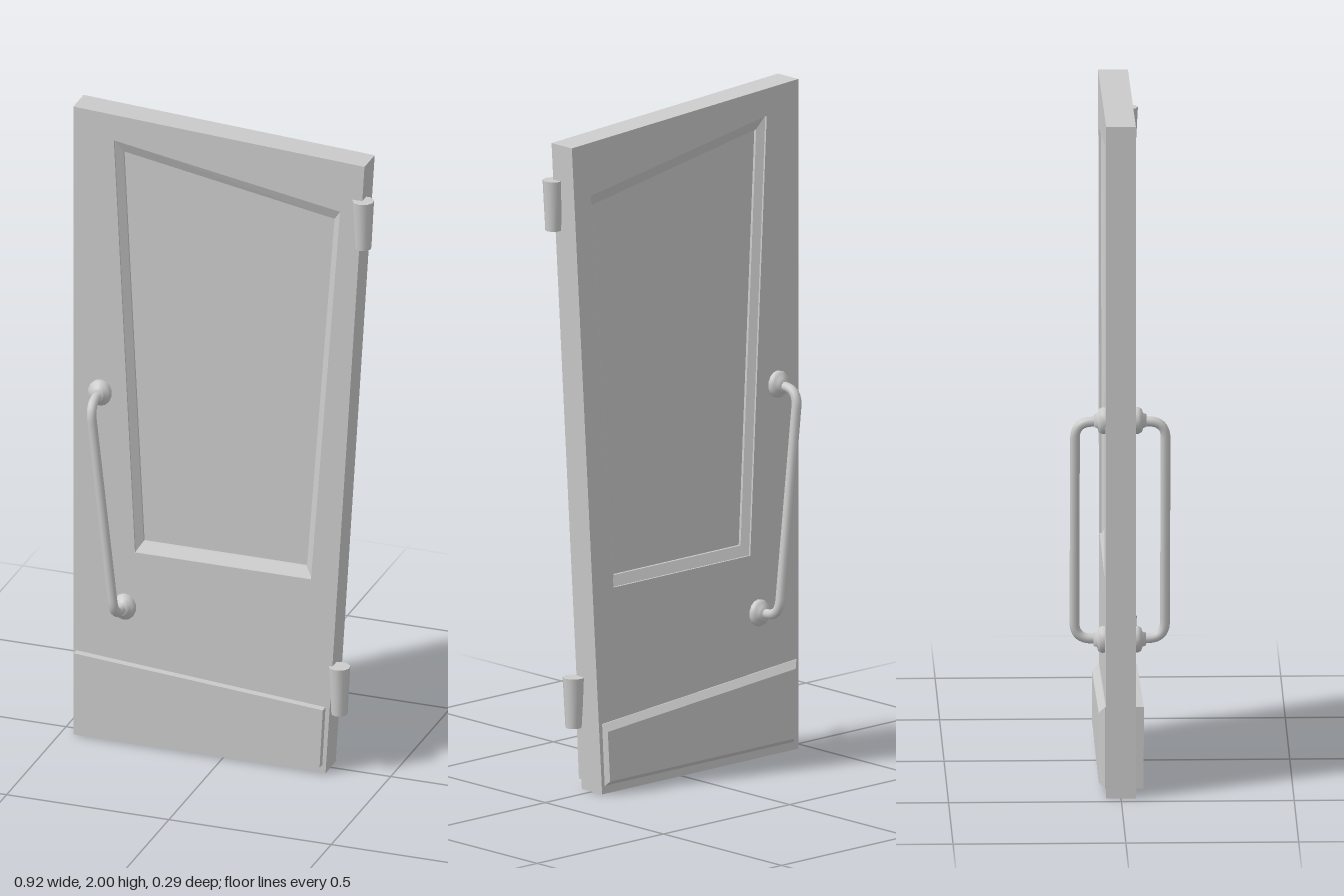
import * as THREE from 'three';

const material = new THREE.MeshStandardMaterial({ color: 0xcccccc, side: THREE.DoubleSide });

// Solid skinned through four-cornered rings (anticlockwise from the front), each { pts, z }.
function loft(name, rings) {
  const pos = [];
  const at = (r, i) => [...rings[r].pts[i % 4], rings[r].z];
  const quad = (a, b, c, d) => pos.push(...a, ...b, ...c, ...a, ...c, ...d);
  const last = rings.length - 1;
  quad(at(0, 0), at(0, 1), at(0, 2), at(0, 3));
  for (let r = 0; r < last; r++)
    for (let i = 0; i < 4; i++) quad(at(r, i), at(r + 1, i), at(r + 1, i + 1), at(r, i + 1));
  quad(at(last, 3), at(last, 2), at(last, 1), at(last, 0));
  const geo = new THREE.BufferGeometry();
  geo.setAttribute('position', new THREE.Float32BufferAttribute(pos, 3));
  geo.computeVertexNormals();
  return named(name, geo);
}

function named(name, geo) {
  const mesh = new THREE.Mesh(geo, material);
  mesh.name = name;
  return mesh;
}

// Slanted pull handle standing off the +z side of the door.
function createHandle(name) {
  const handle = new THREE.Group();
  handle.name = name;
  const top = new THREE.Vector3(-0.378, 1.105, 0.04);
  const bottom = new THREE.Vector3(-0.303, 0.435, 0.04);
  const v = (t, z) => top.clone().lerp(bottom, t).setZ(z);

  // Bar with two rounded corners
  const path = new THREE.CurvePath();
  path.add(new THREE.LineCurve3(v(0, 0.04), v(0.005, 0.09)));
  path.add(new THREE.QuadraticBezierCurve3(v(0.005, 0.09), v(0.012, 0.131), v(0.08, 0.131)));
  path.add(new THREE.LineCurve3(v(0.08, 0.131), v(0.92, 0.131)));
  path.add(new THREE.QuadraticBezierCurve3(v(0.92, 0.131), v(0.988, 0.131), v(0.995, 0.09)));
  path.add(new THREE.LineCurve3(v(0.995, 0.09), v(1, 0.04)));
  handle.add(named('handleBar', new THREE.TubeGeometry(path, 90, 0.0145, 10)));

  // Domed mounting collars
  const profile = [[0.035, 0], [0.036, 0.012], [0.031, 0.022], [0.02, 0.026], [0.017, 0.036], [0, 0.036]]
    .map(([x, y]) => new THREE.Vector2(x, y));
  for (const p of [top, bottom]) {
    const collar = named('handleCollar', new THREE.LatheGeometry(profile, 14));
    collar.rotation.x = Math.PI / 2;
    collar.position.copy(p);
    collar.scale.z = 1.12;
    handle.add(collar);
  }
  return handle;
}

export function createModel() {
  const model = new THREE.Group();
  model.name = 'crookedDoor';

  // Door slab with a bevelled, recessed panel on both faces
  const outline = [[-0.462, 0], [0.315, 0], [0.435, 1.95], [-0.462, 2]];
  const frame = [[-0.272, 0.61], [0.27, 0.61], [0.36, 1.795], [-0.337, 1.912]];
  const panel = [[-0.253, 0.64], [0.25, 0.64], [0.335, 1.76], [-0.315, 1.872]];
  const face = [
    { pts: panel, z: 0.014 }, { pts: panel, z: 0.022 },
    { pts: frame, z: 0.037 }, { pts: frame, z: 0.043 }, { pts: outline, z: 0.043 },
  ];
  const back = face.map(({ pts, z }) => ({ pts, z: -z })).reverse();
  model.add(loft('doorSlab', [...face, ...back]));

  // Kick plates, the rear one chamfered
  const kick = [[-0.443, 0.025], [0.305, 0.025], [0.315, 0.21], [-0.452, 0.27]];
  const kickInner = [[-0.425, 0.04], [0.303, 0.04], [0.312, 0.19], [-0.432, 0.248]];
  model.add(loft('frontKickPlate', [{ pts: kick, z: 0.066 }, { pts: kick, z: 0.04 }]));
  model.add(loft('backKickPlate', [
    { pts: kick, z: -0.04 }, { pts: kick, z: -0.046 }, { pts: kickInner, z: -0.064 },
  ]));

  // Pull handles on both faces
  const frontHandle = createHandle('frontHandle');
  const backHandle = createHandle('backHandle');
  backHandle.scale.z = -1;
  model.add(frontHandle, backHandle);

  // Tapered hinge barrels
  for (const [name, x, y, z] of [['upperHinge', 0.43, 1.765, 0.04], ['lowerHinge', 0.355, 0.268, 0.035]]) {
    const hinge = named(name, new THREE.CylinderGeometry(0.032, 0.024, 0.15, 9));
    hinge.position.set(x, y, z);
    model.add(hinge);
  }
  return model;
}
